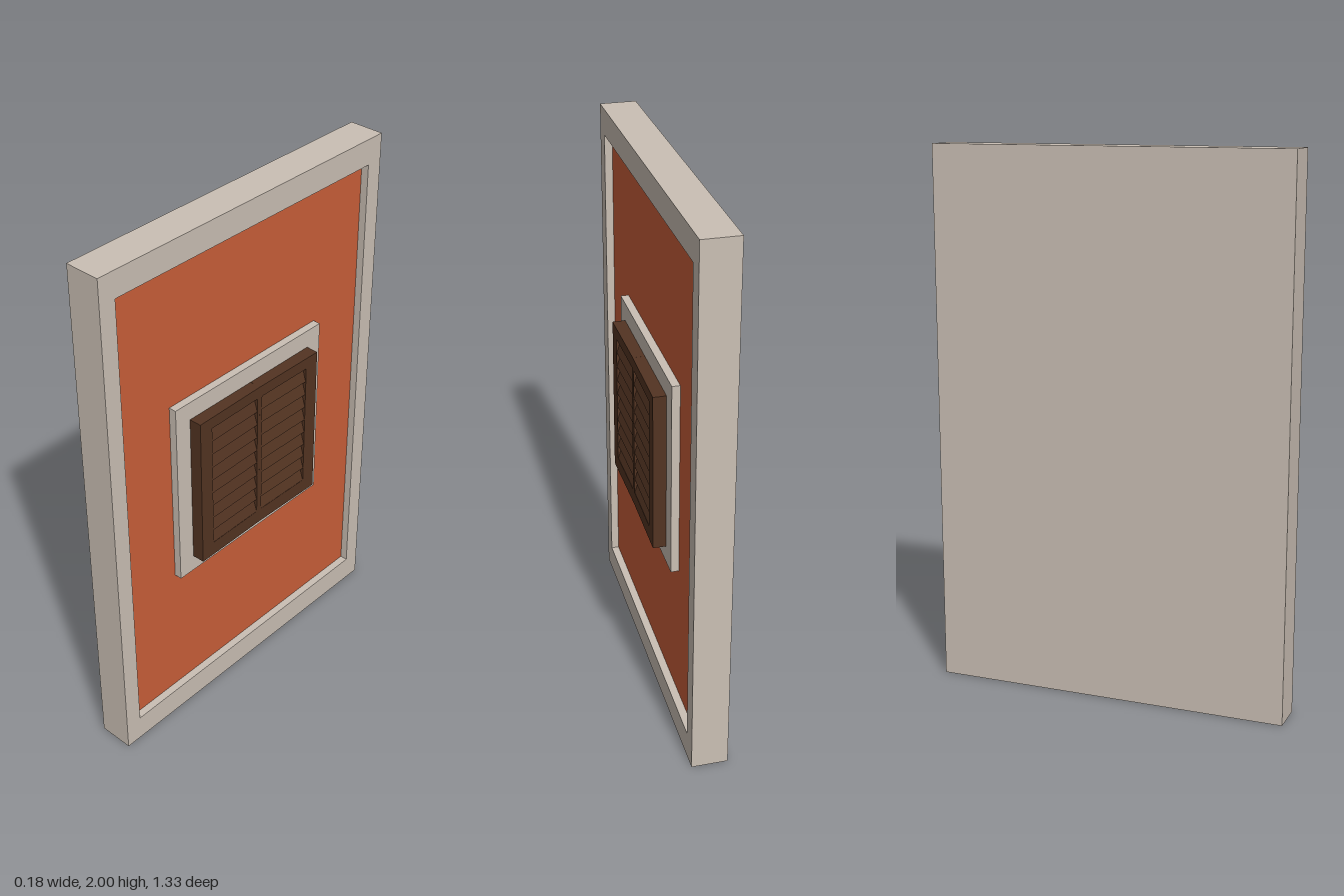
import * as THREE from 'three';

const plaster = new THREE.MeshStandardMaterial({ color: 0xcabfb4, name: 'plaster' });
const orange = new THREE.MeshStandardMaterial({ color: 0xc95e39, name: 'orange paint' });
const wood = new THREE.MeshStandardMaterial({ color: 0x533422, name: 'dark wood' });

function add(parent, name, geometry, material) {
  const mesh = new THREE.Mesh(geometry, material);
  mesh.name = name;
  parent.add(mesh);
  return mesh;
}

// Box given by its extents along each axis
function block(x0, x1, y0, y1, z0, z1) {
  return new THREE.BoxGeometry(x1 - x0, y1 - y0, z1 - z0)
    .translate((x0 + x1) / 2, (y0 + y1) / 2, (z0 + z1) / 2);
}

function rect(path, z0, z1, y0, y1) {
  // the shape is turned to face +x later, so its horizontal axis is -z
  path.moveTo(-z1, y0).lineTo(-z0, y0).lineTo(-z0, y1).lineTo(-z1, y1).closePath();
  return path;
}

// Rectangular frame facing +x, from x0 to x1; outer and inner are [z0, z1, y0, y1]
function frame(x0, x1, outer, inner) {
  const shape = rect(new THREE.Shape(), ...outer);
  shape.holes.push(rect(new THREE.Path(), ...inner));
  return new THREE.ExtrudeGeometry(shape, { depth: x1 - x0, bevelEnabled: false })
    .rotateY(Math.PI / 2).translate(x0, 0, 0);
}

// One shutter leaf, hinged at its outer edge; side is +1 or -1 along z
function shutterLeaf(side) {
  const hinge = new THREE.Group();
  hinge.name = side > 0 ? 'shutterLeafNear' : 'shutterLeafFar';
  hinge.position.set(0.0903, 0, side * 0.3);
  hinge.rotation.y = side * 0.012;

  const span = (a, b) => (side > 0 ? [-b, -a] : [a, b]);
  const outer = span(0, 0.3), inner = span(0.057, 0.288);
  const bottom = 0.755, top = 1.256, slats = 9, pitch = (top - bottom) / slats;
  add(hinge, 'shutterFrame', frame(-0.05, 0, [...outer, 0.7, 1.3], [...inner, bottom, top]), wood);

  // Sloping slats with overhanging lower edges
  const profile = new THREE.Shape().moveTo(-0.05, bottom);
  for (let i = 0; i < slats; i++) {
    profile.lineTo(-0.001, bottom + i * pitch);
    profile.lineTo(-0.018, bottom + (i + 1) * pitch);
  }
  profile.lineTo(-0.05, top).closePath();
  const louvres = new THREE.ExtrudeGeometry(profile, { depth: inner[1] - inner[0], bevelEnabled: false });
  add(hinge, 'louvres', louvres.translate(0, 0, inner[0]), wood);
  return hinge;
}

export function createModel() {
  const model = new THREE.Group();
  model.name = 'wallPanelWithShutters';

  // Wall slab and raised border
  add(model, 'wallSlab', block(-0.09, 0.012, 0, 2, -0.667, 0.667), plaster);
  add(model, 'wallBorder', frame(0.012, 0.043, [-0.667, 0.667, 0, 2], [-0.602, 0.602, 0.1, 1.903]), plaster);

  // Recessed painted panel
  add(model, 'paintedPanel', block(0.011, 0.014, 0.1, 1.903, -0.602, 0.602), orange);

  // Window surround and closed shutters
  add(model, 'windowSurround', block(0.012, 0.043, 0.635, 1.369, -0.367, 0.367), plaster);
  const shutters = new THREE.Group();
  shutters.name = 'shutters';
  shutters.add(shutterLeaf(1), shutterLeaf(-1));
  model.add(shutters);

  return model;
}
